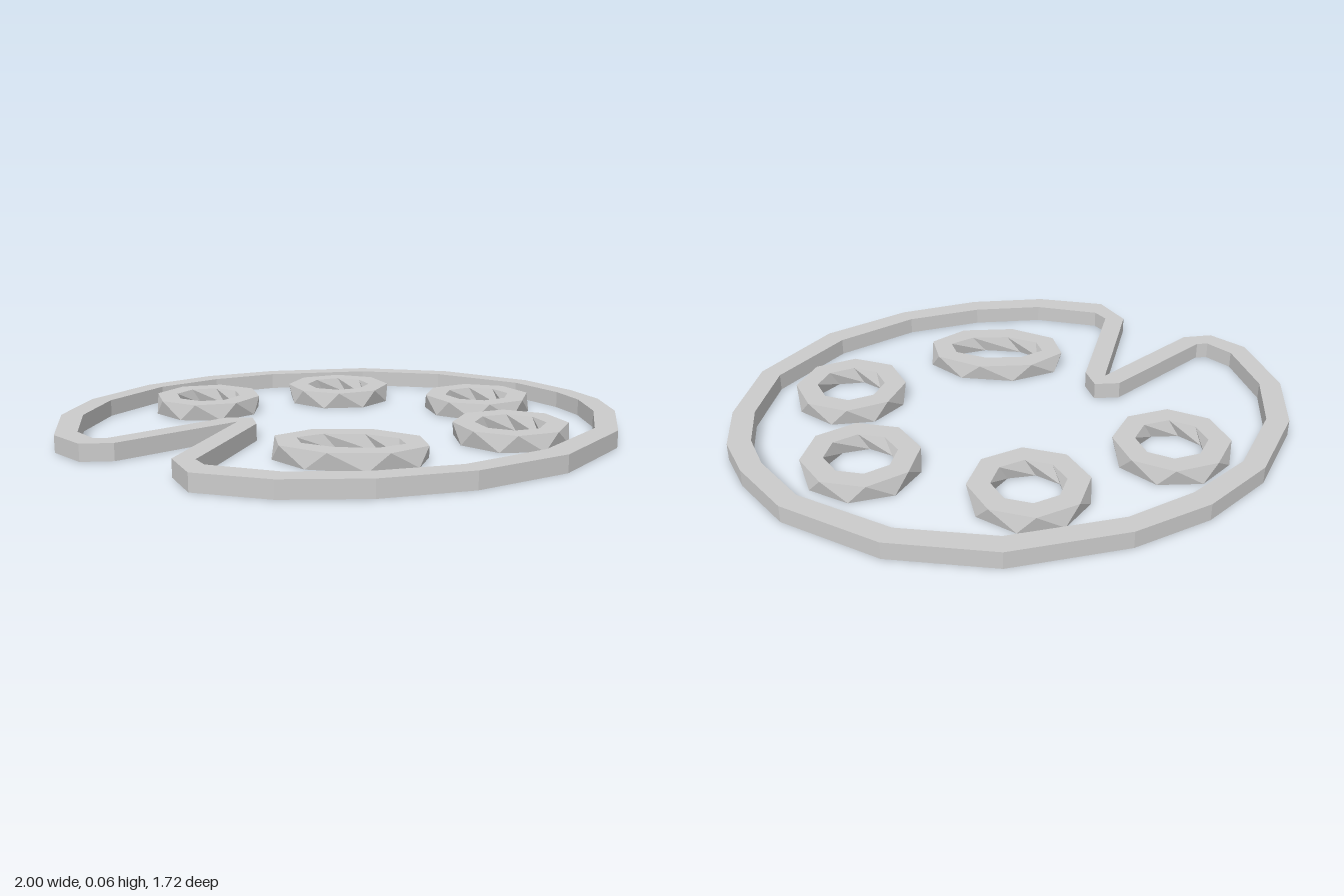
import * as THREE from 'three';

const HEIGHT = 0.06;
const material = new THREE.MeshStandardMaterial({ color: 0xcccccc, flatShading: true });

// Closed band of square section: each section lists its corners as
// outer bottom, outer top, inner top, inner bottom; sections run clockwise from above.
function band(name, sections) {
  const pos = [];
  sections.forEach((s, i) => {
    const next = sections[(i + 1) % sections.length];
    for (let k = 0; k < 4; k++) {
      const a = s[k], b = s[(k + 1) % 4], c = next[(k + 1) % 4], d = next[k];
      for (const [p, q, r] of [[a, b, c], [a, c, d]]) {
        const area = new THREE.Triangle(p, q, r).getArea();
        if (area > 1e-7) for (const v of [p, q, r]) pos.push(v.x, v.y, v.z);
      }
    }
  });
  const geometry = new THREE.BufferGeometry();
  geometry.setAttribute('position', new THREE.Float32BufferAttribute(pos, 3));
  geometry.computeVertexNormals();
  const mesh = new THREE.Mesh(geometry, material);
  mesh.name = name;
  return mesh;
}

// Rim of the palette: outer x, z and inner x, z
const RIM = [
  [-0.12, -0.86, -0.13, -0.785], [0.28, -0.84, 0.26, -0.765],
  [0.61, -0.69, 0.56, -0.63], [0.87, -0.42, 0.81, -0.375],
  [0.965, -0.185, 0.895, -0.16], [0.995, -0.01, 0.915, -0.01],
  [0.96, 0.2, 0.885, 0.18], [0.83, 0.48, 0.77, 0.43],
  [0.54, 0.73, 0.5, 0.655], [0.21, 0.84, 0.195, 0.765],
  [-0.1, 0.855, -0.09, 0.775], [-0.38, 0.8, -0.345, 0.725],
  [-0.61, 0.675, -0.555, 0.6], [-0.645, 0.51, -0.575, 0.535],
  // thumb notch
  [-0.39, 0.07, -0.33, 0.115], [-0.39, 0.07, -0.33, 0.02], [-0.39, 0.07, -0.42, 0],
  [-0.81, 0.28, -0.835, 0.21], [-0.92, 0.265, -0.875, 0.2],
  [-1, 0.13, -0.925, 0.1], [-0.985, -0.175, -0.91, -0.155],
  [-0.88, -0.425, -0.81, -0.39], [-0.655, -0.665, -0.605, -0.61],
  [-0.4, -0.8, -0.375, -0.725],
];

// Faceted ring; the bottom loop is turned a little against the top one
function ring(name, x, z, rx, rz, tilt, start) {
  const sides = 8, width = 0.077, twist = 0.3;
  const point = (angle, inset, y) => {
    const u = (rx - inset) * Math.cos(angle), v = (rz - inset) * Math.sin(angle);
    const c = Math.cos(tilt), s = Math.sin(tilt);
    return new THREE.Vector3(x + u * c - v * s, y, z + u * s + v * c);
  };
  const sections = [];
  for (let i = 0; i < sides; i++) {
    const top = start + (i / sides) * Math.PI * 2, bottom = top + twist;
    sections.push([
      point(bottom, 0, 0), point(top, 0, HEIGHT),
      point(top, width, HEIGHT), point(bottom, width, 0),
    ]);
  }
  return band(name, sections);
}

export function createModel() {
  const group = new THREE.Group();
  group.name = 'paintPalette';

  group.add(band('rim', RIM.map(([ox, oz, ix, iz]) => [
    new THREE.Vector3(ox, 0, oz), new THREE.Vector3(ox, HEIGHT, oz),
    new THREE.Vector3(ix, HEIGHT, iz), new THREE.Vector3(ix, 0, iz),
  ])));

  // Paint wells
  [[-0.44, -0.415, 0.35], [0.097, -0.514, 0.2], [0.577, -0.198, 0.1], [0.526, 0.286, 0.25]]
    .forEach(([x, z, start], i) => group.add(ring('paintWell' + (i + 1), x, z, 0.2, 0.2, 0, start)));

  // Oval thumb hole
  group.add(ring('thumbHole', -0.07, 0.415, 0.26, 0.17, 0.36, 0.2));
  return group;
}
